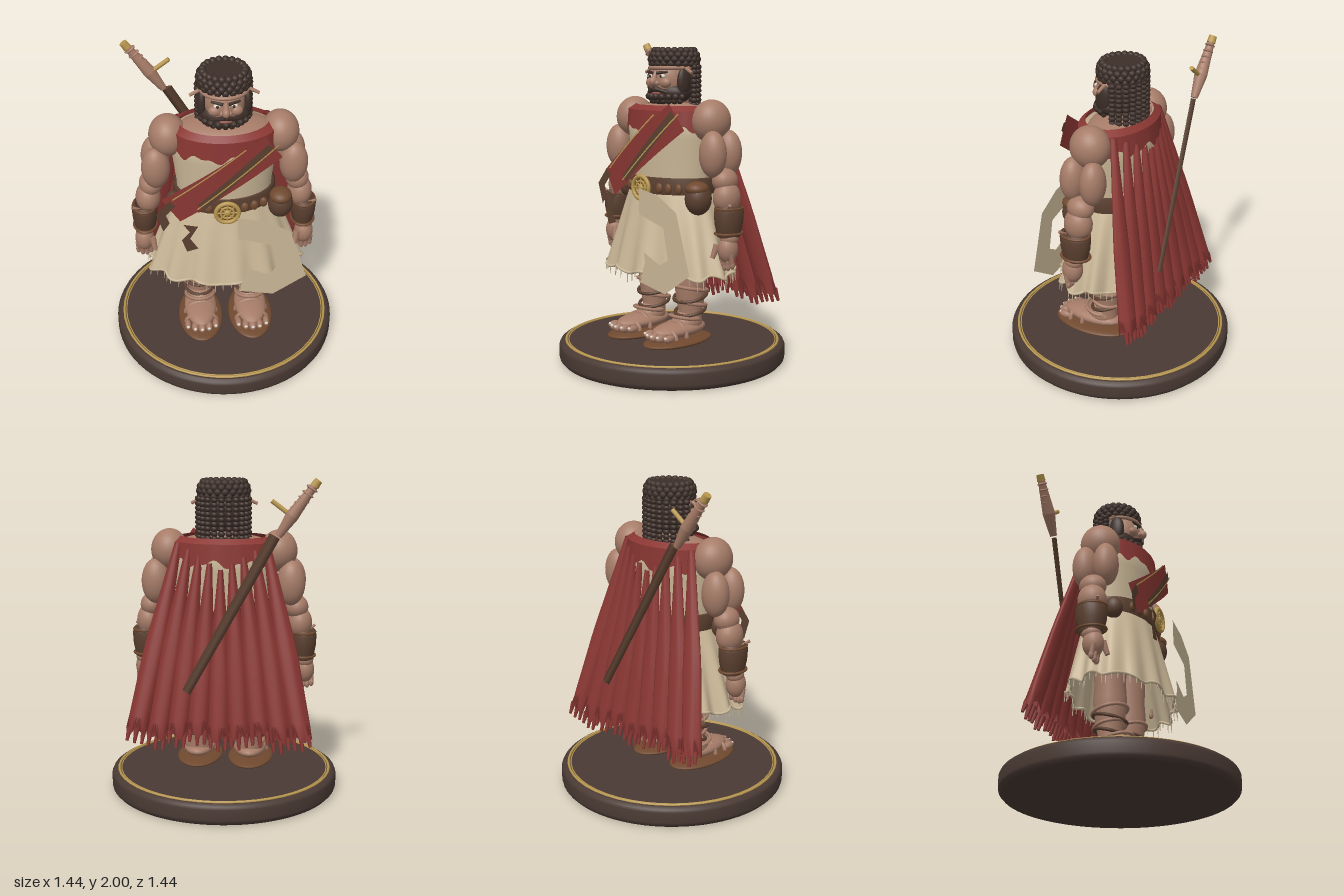
import * as THREE from 'three';
import { ParametricGeometry } from 'three/addons/geometries/ParametricGeometry.js';

const V = (x, y, z) => new THREE.Vector3(x, y, z);
const mat = (name, color, side = THREE.FrontSide) => Object.assign(new THREE.MeshStandardMaterial({ color, side }), { name });

export function createModel() {
  const root = new THREE.Group();
  root.name = 'robedWarrior';
  const D = THREE.DoubleSide;
  const skin = mat('skin', 0xa67c68), hair = mat('hair', 0x3d2e28), base = mat('baseBrown', 0x4a3a34),
    cream = mat('linen', 0xcbb898, D), red = mat('redCloth', 0x8a3733, D), leather = mat('leather', 0x5b4030, D),
    gold = mat('gold', 0xb8974f), sole = mat('soleLeather', 0x70492f), white = mat('eyeWhite', 0xe0d8c8), lip = mat('lip', 0x8a5045);

  const add = (name, geo, m) => {
    const mesh = new THREE.Mesh(geo, m);
    mesh.name = name;
    root.add(mesh);
    return mesh;
  };
  const ball = (name, m, p, r, seg = 20) => {
    const b = add(name, new THREE.SphereGeometry(1, seg, Math.ceil(seg * 0.7)), m);
    b.position.set(...p);
    b.scale.set(...(Array.isArray(r) ? r : [r, r, r]));
    return b;
  };
  const rod = (name, m, a, b, r0, r1 = r0, seg = 10) => {
    const p = V(...a), q = V(...b), d = q.clone().sub(p);
    const c = add(name, new THREE.CylinderGeometry(r1, r0, d.length(), seg), m);
    c.position.copy(p).add(q).multiplyScalar(0.5);
    c.quaternion.setFromUnitVectors(V(0, 1, 0), d.normalize());
    return c;
  };
  const lathe = (name, m, pts, seg = 48) => add(name, new THREE.LatheGeometry(pts.map(p => new THREE.Vector2(...p)), seg), m);
  // horizontal elliptical ring
  const ring = (name, m, p, rx, rz, t, tilt = 0) => {
    const g = new THREE.TorusGeometry(1, t / rx, 8, 48).rotateX(Math.PI / 2).scale(rx, rx, rz);
    const o = add(name, g, m);
    o.position.set(...p);
    o.rotation.x = tilt;
  };
  const surface = (name, m, f, nu, nv) => add(name, new ParametricGeometry((u, v, t) => t.set(...f(u, v)), nu, nv), m);
  const plate = (name, m, pts, z) => {
    const o = add(name, new THREE.ShapeGeometry(new THREE.Shape(pts.map(p => new THREE.Vector2(...p)))), m);
    o.position.z = z;
  };

  // Round plinth with gold rim
  lathe('plinth', base, [[0, 0], [0.695, 0], [0.7, 0.001], [0.716, 0.018], [0.72, 0.035], [0.72, 0.1], [0.712, 0.117], [0.695, 0.129], [0.69, 0.13], [0, 0.13]], 72);
  ring('plinthRim', gold, [0, 0.132, 0], 0.675, 0.675, 0.008);
  ring('plinthRimOuter', gold, [0, 0.132, 0], 0.66, 0.66, 0.004);

  // Legs, feet and sandals
  for (const s of [1, -1]) {
    const x = 0.165 * s;
    ball('sandalSole', sole, [x, 0.165, 0.11], [0.145, 0.03, 0.265], 28);
    const leg = lathe('leg', skin, [[0.075, 0.22], [0.072, 0.32], [0.09, 0.42], [0.103, 0.54], [0.095, 0.66], [0.12, 0.95]], 24);
    leg.position.x = x;
    ball('foot', skin, [x, 0.235, 0.1], [0.105, 0.05, 0.21]);
    ball('ankle', skin, [x, 0.27, 0.03], [0.09, 0.07, 0.1]);
    for (let i = 0; i < 5; i++) {
      const tx = x + (i - 2) * 0.045, r = 0.03 - 0.003 * Math.abs(i - 2);
      ball('toe', skin, [tx, 0.215, 0.3 - 0.008 * (i - 2) ** 2], [r * 0.85, r, 0.045], 12);
      ball('toenail', white, [tx, 0.224, 0.335 - 0.008 * (i - 2) ** 2], [0.012, 0.01, 0.008], 8);
    }
    [[0.3, 0.05], [0.34, 0.0], [0.385, 0.0], [0.43, 0.0], [0.48, 0]].forEach(([y, z], i) =>
      ring('ankleStrap', i === 1 || i === 3 ? leather : skin, [x, y, z], 0.092 + 0.004 * i, 0.092 + 0.004 * i, 0.011, i % 2 ? 0.25 : -0.2));
    for (const z of [0.13, 0.22]) {
      const strap = add('footStrap', new THREE.TorusGeometry(0.1, 0.014, 8, 20, Math.PI), skin);
      strap.position.set(x, 0.2, z);
      strap.scale.y = z < 0.2 ? 0.85 : 0.65;
    }
  }

  // Torso, neck and flared tunic skirt
  lathe('torso', cream, [[0.29, 1.05], [0.295, 1.2], [0.32, 1.42], [0.325, 1.5], [0.29, 1.58], [0.2, 1.6]]).scale.z = 0.66;
  ball('upperChest', skin, [0, 1.56, 0], [0.3, 0.075, 0.17], 28);
  rod('neck', skin, [0, 1.55, -0.01], [0, 1.68, 0], 0.11, 0.1, 20);
  const skirt = (u, v) => {
    const a = u * Math.PI * 2, k = Math.pow(v, 0.9);
    const w = 1 + 0.045 * v * Math.sin(a * 14) + 0.02 * v * Math.sin(a * 5 + 1);
    return [(0.295 + 0.185 * k) * w * Math.sin(a), 1.13 - 0.53 * v + 0.015 * v * Math.sin(a * 11), 0.02 * v + (0.205 + 0.095 * k) * w * Math.cos(a)];
  };
  surface('tunicSkirt', cream, skirt, 140, 14);
  const hem = new THREE.CatmullRomCurve3(Array.from({ length: 112 }, (_, i) => V(...skirt(i / 112, 1))), true);
  add('skirtHem', new THREE.TubeGeometry(hem, 224, 0.009, 6, true), cream);
  for (let i = 0; i < 60; i++) {
    const p = skirt((i + 0.4) / 60, 1), l = 0.03 + 0.035 * Math.abs(Math.sin(i * 2.3));
    rod('skirtFringe', cream, p, [p[0] * 1.01, p[1] - l, p[2] * 1.01], 0.004, 0.002, 5);
  }

  // Loose linen drape in front of the skirt
  plate('frontDrape', cream, [[0.055, 1.13], [0.22, 1.1], [0.38, 1.01], [0.49, 0.65], [0.285, 0.51], [0.065, 0.55], [0.11, 0.68],
    [0.1, 0.74], [0.24, 0.68], [0.31, 0.72], [0.27, 0.91], [0.06, 0.97]], 0.335);
  plate('hangingStrap', leather, [[-0.27, 1.08], [-0.18, 1.06], [-0.23, 0.97], [-0.18, 0.89], [-0.25, 0.87], [-0.28, 0.96], [-0.23, 1.02]], 0.31);
  plate('sashEnd', leather, [[-0.35, 1.21], [-0.31, 1.17], [-0.37, 1.1], [-0.35, 1.04], [-0.39, 0.98], [-0.43, 1.11]], 0.24);

  // Belt, round buckle, studs and pouches
  lathe('belt', leather, [[0.3, 1.08], [0.318, 1.085], [0.318, 1.18], [0.3, 1.185]]).scale.z = 0.72;
  for (const [r, t] of [[0.07, 0.013], [0.04, 0.007]]) add('buckleRing', new THREE.TorusGeometry(r, t, 10, 32), gold).position.set(0, 1.12, 0.265);
  rod('buckleDisc', sole, [0, 1.12, 0.24], [0, 1.12, 0.262], 0.068, 0.068, 28);
  ball('buckleBoss', gold, [0, 1.12, 0.265], [0.022, 0.022, 0.014]);
  for (let i = 0; i < 8; i++) {
    const a = i * Math.PI / 4;
    rod('buckleSpoke', gold, [0.02 * Math.cos(a), 1.12 + 0.02 * Math.sin(a), 0.266], [0.068 * Math.cos(a), 1.12 + 0.068 * Math.sin(a), 0.266], 0.005);
  }
  for (const s of [1, -1]) for (const [x, z] of [[0.11, 0.215], [0.17, 0.198], [0.23, 0.17]])
    ball('beltStud', sole, [x * s, 1.12, z], [0.026, 0.034, 0.018], 12);
  ball('sidePouch', leather, [0.34, 1.07, 0.11], [0.08, 0.1, 0.085]);
  ball('pouchFlap', sole, [0.34, 1.13, 0.12], [0.07, 0.045, 0.075]);
  ball('smallPouch', leather, [-0.32, 1.09, 0.08], [0.05, 0.07, 0.06]);

  // Arms, bracers and hands
  for (const s of [1, -1]) {
    ball('shoulder', skin, [0.34 * s, 1.53, 0], [0.115, 0.13, 0.125], 28);
    ball('biceps', skin, [0.42 * s, 1.34, 0.07], [0.088, 0.14, 0.078], 24);
    ball('triceps', skin, [0.42 * s, 1.34, -0.065], [0.088, 0.14, 0.078], 24);
    ball('elbow', skin, [0.455 * s, 1.18, 0], [0.073, 0.075, 0.085]);
    ball('forearm', skin, [0.475 * s, 1.08, 0.005], [0.078, 0.1, 0.09]);
    const bracer = lathe('bracer', leather, [[0.055, 0.845], [0.062, 0.85], [0.078, 0.93], [0.082, 1.0], [0.07, 1.035], [0.06, 1.035]], 28);
    bracer.position.set(0.5 * s, 0, 0.012);
    bracer.scale.z = 1.2;
    for (const y of [0.87, 1.02]) ring('bracerBand', sole, [0.5 * s, y, 0.012], 0.072, 0.09, 0.008);
    rod('bracerTie', skin, [0.53 * s, 1.02, 0.06], [0.57 * s, 1.05, 0.08], 0.009);
    ball('wrist', skin, [0.51 * s, 0.84, 0.02], [0.055, 0.05, 0.06]);
    ball('palm', skin, [0.51 * s, 0.775, 0.03], [0.06, 0.085, 0.065]);
    for (let i = 0; i < 4; i++) {
      const fx = (0.472 + i * 0.027) * s, z = 0.06 - Math.abs(i - 1.5) * 0.008;
      rod('finger', skin, [fx, 0.75, z], [fx, 0.67 + Math.abs(i - 1.4) * 0.012, z - 0.01], 0.017, 0.014, 10);
      ball('fingertip', skin, [fx, 0.665 + Math.abs(i - 1.4) * 0.012, z - 0.012], [0.016, 0.026, 0.017], 10);
    }
    rod('thumb', skin, [0.46 * s, 0.8, 0.07], [0.445 * s, 0.72, 0.095], 0.022, 0.015);
  }

  // Red collar and pleated cape with ragged ends
  surface('collar', red, (u, v) => {
    const a = u * Math.PI * 2, r = [0.27, 0.325, 0.335][Math.round(v * 2)];
    const low = 1.47 + 0.018 * Math.sin(a * 9) + 0.012 * Math.sin(a * 17);
    return [r * Math.sin(a), [1.62, 1.59, low][Math.round(v * 2)], r * 0.665 * Math.cos(a)];
  }, 96, 2);
  for (let i = 0; i < 9; i++) {
    const c = (i - 4) / 4, m = Math.abs(c), top = 1.44 + 0.15 * m;
    const x0 = 0.27 * c, z0 = -0.215 + 0.1 * m * m, x1 = 0.5 * c, y1 = 0.44 - 0.02 * Math.sin(i * 2.1);
    surface('capePleat', red, (u, v) => {
      const a = u * Math.PI * 2, w = 0.014 + (0.068 - 0.014) * Math.min(1, v * 1.6 + 0.12 * m), d = 0.018 + 0.03 * v;
      const rag = v === 1 ? 0.02 * Math.sin(a * 4 + i) : 0;
      return [x0 + (x1 - x0) * v + w * Math.cos(a) * (1 + 0.12 * Math.sin(3 * a)), top + (y1 - top) * v + rag, z0 + (-0.355 - z0) * v + d * Math.sin(a)];
    }, 24, 12);
    for (let j = 0; j < 3; j++) {
      const x = x1 + (j - 1) * 0.045, l = 0.05 + 0.03 * Math.abs(Math.sin(i * 3 + j * 2));
      rod('capeTatter', red, [x, y1 + 0.02, -0.365], [x + 0.015 * c, y1 - l, -0.385], 0.018, 0.009, 8);
    }
  }

  // Diagonal sash, baldric and gold cords bowed across the chest
  const ribbon = (name, m, a, b, w, lift) => {
    const len = Math.hypot(b[0] - a[0], b[1] - a[1]);
    const g = new THREE.PlaneGeometry(len, w, 16, 2).rotateZ(Math.atan2(a[1] - b[1], a[0] - b[0]));
    g.translate((a[0] + b[0]) / 2, (a[1] + b[1]) / 2, 0);
    const p = g.attributes.position;
    for (let i = 0; i < p.count; i++) p.setZ(i, 0.25 + lift - 0.28 * p.getX(i) ** 2);
    g.computeVertexNormals();
    add(name, g, m);
  };
  ribbon('sash', red, [0.275, 1.56], [-0.34, 1.12], 0.19, 0);
  ribbon('baldric', leather, [0.26, 1.575], [-0.16, 1.16], 0.055, 0.012);
  ribbon('goldCord', gold, [0.11, 1.57], [-0.33, 1.21], 0.009, 0.014);
  ribbon('goldCord', gold, [0.3, 1.58], [-0.18, 1.15], 0.009, 0.016);

  // Head, face and beard
  ball('head', skin, [0, 1.77, 0.02], [0.125, 0.15, 0.125], 28);
  ball('hairMass', hair, [0, 1.79, -0.035], [0.155, 0.16, 0.125], 28);
  ball('beard', hair, [0, 1.695, 0.02], [0.158, 0.078, 0.115], 28);
  ball('chinBeard', hair, [0, 1.672, 0.08], [0.09, 0.05, 0.06]);
  ball('nose', skin, [0, 1.762, 0.155], [0.024, 0.03, 0.032]);
  rod('noseBridge', skin, [0, 1.765, 0.16], [0, 1.82, 0.135], 0.018, 0.013);
  ball('lowerLip', lip, [0, 1.69, 0.138], [0.04, 0.01, 0.012], 14);
  for (const s of [1, -1]) {
    ball('sideburn', hair, [0.135 * s, 1.76, 0.03], [0.03, 0.09, 0.05]);
    ball('cheek', skin, [0.062 * s, 1.755, 0.115], [0.04, 0.032, 0.03]);
    ball('nostril', skin, [0.022 * s, 1.753, 0.148], 0.016, 12);
    ball('eye', white, [0.05 * s, 1.795, 0.13], [0.021, 0.013, 0.013], 14);
    ball('pupil', hair, [0.048 * s, 1.795, 0.141], [0.009, 0.01, 0.005], 10);
    rod('eyebrow', hair, [0.018 * s, 1.814, 0.148], [0.085 * s, 1.822, 0.122], 0.01, 0.007);
    rod('moustache', hair, [0.004 * s, 1.72, 0.145], [0.085 * s, 1.695, 0.115], 0.016, 0.008);
    rod('headbandTie', skin, [0.14 * s, 1.845, 0.02], [0.205 * s, 1.815, 0.03], 0.012, 0.01);
  }
  ring('headband', skin, [0, 1.845, 0], 0.142, 0.135, 0.012);

  // Crown of curls, hanging curls and beard curls
  for (let j = 0; j < 4; j++) for (let i = 0; i < 20; i++) {
    const a = (i + j / 2) * Math.PI / 10, r = [0.142, 0.146, 0.142, 0.125][j];
    ball('crownCurl', hair, [r * Math.sin(a), 1.87 + 0.026 * j, -0.02 + r * 0.95 * Math.cos(a)], 0.024, 10);
  }
  rod('crownTop', hair, [0, 1.85, -0.02], [0, 1.955, -0.02], 0.13, 0.12, 28);
  for (let i = 0; i < 11; i++) for (let j = 0; j < 9; j++) {
    const a = Math.PI + (i - 5) * 0.29;
    ball('hangingCurl', hair, [0.155 * Math.sin(a), 1.85 - 0.029 * j, -0.02 + 0.14 * Math.cos(a)], [0.022, 0.019, 0.022], 8);
  }
  for (let j = 0; j < 2; j++) for (let i = 0; i < 9; i++) {
    const a = (i - 4) * 0.32, r = 0.145 - 0.025 * j;
    ball('beardCurl', hair, [r * Math.sin(a), 1.67 - 0.025 * j, 0.015 + r * 0.85 * Math.cos(a)], 0.021, 8);
  }

  // Sword on the back: scabbard, grip, guard and pommel
  const scabbard = rod('scabbard', leather, [0.19, 0.72, -0.395], [-0.33, 1.66, -0.325], 0.028, 0.034, 4);
  scabbard.scale.z = 0.5;
  rod('swordGrip', skin, [-0.35, 1.66, -0.32], [-0.43, 1.78, -0.32], 0.022, 0.04, 14);
  rod('swordGrip', skin, [-0.43, 1.78, -0.32], [-0.56, 1.96, -0.32], 0.04, 0.022, 14);
  for (let i = 0; i < 5; i++) ball('gripRidge', skin, [-0.45 - i * 0.023, 1.81 + i * 0.032, -0.32], [0.038, 0.012, 0.03], 12).rotation.z = 0.62;
  rod('swordGuard', gold, [-0.43, 1.775, -0.315], [-0.31, 1.865, -0.315], 0.014);
  rod('pommel', gold, [-0.555, 1.95, -0.32], [-0.58, 1.985, -0.32], 0.027, 0.024, 14);
  return root;
}
